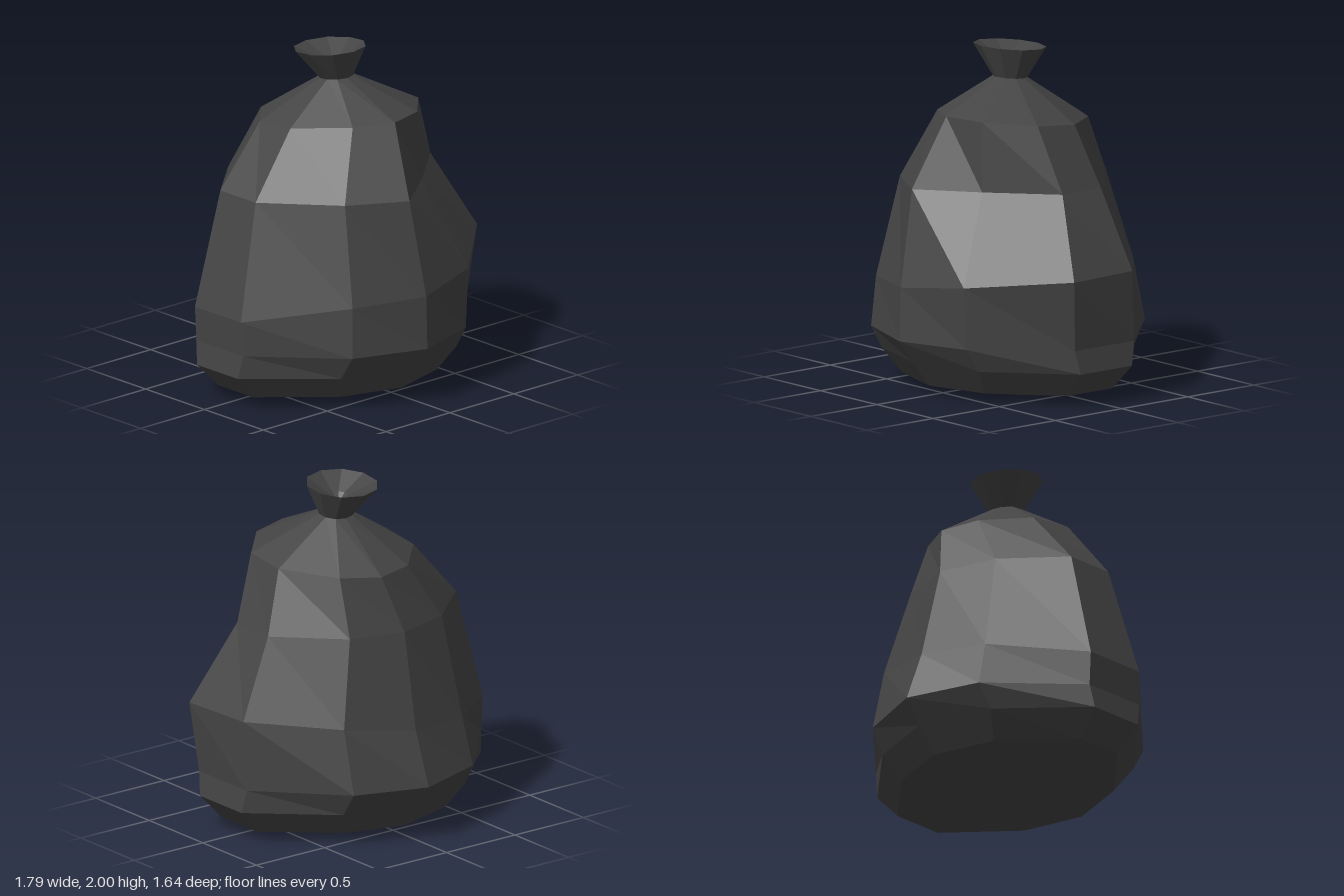
import * as THREE from 'three';

const SIDES = 10;
const material = new THREE.MeshStandardMaterial({ color: 0x444444, flatShading: true, side: THREE.DoubleSide });

// Outline of the sack at its widest, as [x, z] pairs running from the left side round the front
const base = [[0.85, 0.225], [0.42, 0.68], [-0.01, 0.82], [-0.45, 0.66], [-0.88, 0.2],
  [-0.88, -0.2], [-0.45, -0.67], [-0.01, -0.82], [0.42, -0.67], [0.85, -0.22]];

// Ring from an outline, scaled, at a height that may tilt with z
function ring(outline, y, sx = 1, sz = 1, tilt = 0) {
  return outline.map(([x, z], i) =>
    new THREE.Vector3(x * sx, (Array.isArray(y) ? y[i] : y) + tilt * z, z * sz));
}

// Regular ring
function circle(r, y, cx, cz, tilt = 0) {
  const outline = Array.from({ length: SIDES }, (_, i) => {
    const a = ((20 + 36 * i) * Math.PI) / 180;
    return [cx + r * Math.cos(a), cz + r * Math.sin(a)];
  });
  return ring(outline, y, 1, 1, tilt);
}

const point = (x, y, z) => Array.from({ length: SIDES }, () => new THREE.Vector3(x, y, z));

// Skin a stack of rings, dropping collapsed triangles
function loft(name, rings) {
  const positions = [];
  const tri = (a, b, c) => {
    if (new THREE.Triangle(a, b, c).getArea() < 1e-7) return;
    for (const v of [a, b, c]) positions.push(v.x, v.y, v.z);
  };
  for (let k = 0; k + 1 < rings.length; k++) {
    for (let i = 0; i < SIDES; i++) {
      const j = (i + 1) % SIDES;
      tri(rings[k][i], rings[k + 1][i], rings[k + 1][j]);
      tri(rings[k][i], rings[k + 1][j], rings[k][j]);
    }
  }
  const geometry = new THREE.BufferGeometry();
  geometry.setAttribute('position', new THREE.Float32BufferAttribute(positions, 3));
  geometry.computeVertexNormals();
  const mesh = new THREE.Mesh(geometry, material);
  mesh.name = name;
  return mesh;
}

export function createModel() {
  const group = new THREE.Group();
  group.name = 'tiedSack';

  // Small flat patch the sack rests on
  const foot = base.map(([x, z]) => [THREE.MathUtils.clamp(x, -0.38, 0.37), THREE.MathUtils.clamp(z, -0.17, 0.17)]);

  // Lumpy middle, waist and shoulder outlines
  const middle = [[0.89, 0.265], [0.42, 0.7], [-0.01, 0.81], [-0.43, 0.64], [-0.89, 0.19],
    [-0.89, -0.2], [-0.43, -0.6], [-0.01, -0.7], [0.42, -0.58], [0.86, -0.2]];
  const middleHeights = [0.76, 0.71, 0.66, 0.64, 0.55, 0.55, 0.62, 0.66, 0.72, 0.76];
  const waist = [[0.64, 0.14], [0.29, 0.45], [-0.04, 0.7], [-0.37, 0.51], [-0.71, 0.12],
    [-0.71, -0.18], [-0.38, -0.47], [-0.03, -0.57], [0.3, -0.48], [0.64, -0.15]];
  const shoulder = [[0.49, 0.2], [0.27, 0.43], [0.03, 0.5], [-0.19, 0.38], [-0.41, 0.09],
    [-0.4, -0.18], [-0.18, -0.41], [0.06, -0.47], [0.28, -0.36], [0.5, -0.07]];

  const neck = circle(0.1, 1.8, 0.02, 0.01, 0.08);

  // Sack body, from the underside up to the tied neck
  group.add(loft('sackBody', [
    point(0, 0, 0),
    ring(foot, 0),
    ring(base, 0.055, 0.86, 0.73),
    ring(base, 0.205, 1.02, 0.87),
    ring(base, 0.345),
    ring(middle, middleHeights),
    ring(waist, 1.22),
    ring(shoulder, 1.587, 1, 1, 0.09),
    neck,
  ]));

  // Flared end above the tie, with a hollow funnel inside
  group.add(loft('flaredTop', [
    neck,
    circle(0.212, 1.98, -0.008, -0.012, 0.09),
    circle(0.06, 1.9, 0, 0.01, 0.09),
    point(0, 1.85, 0.01),
  ]));
  return group;
}
